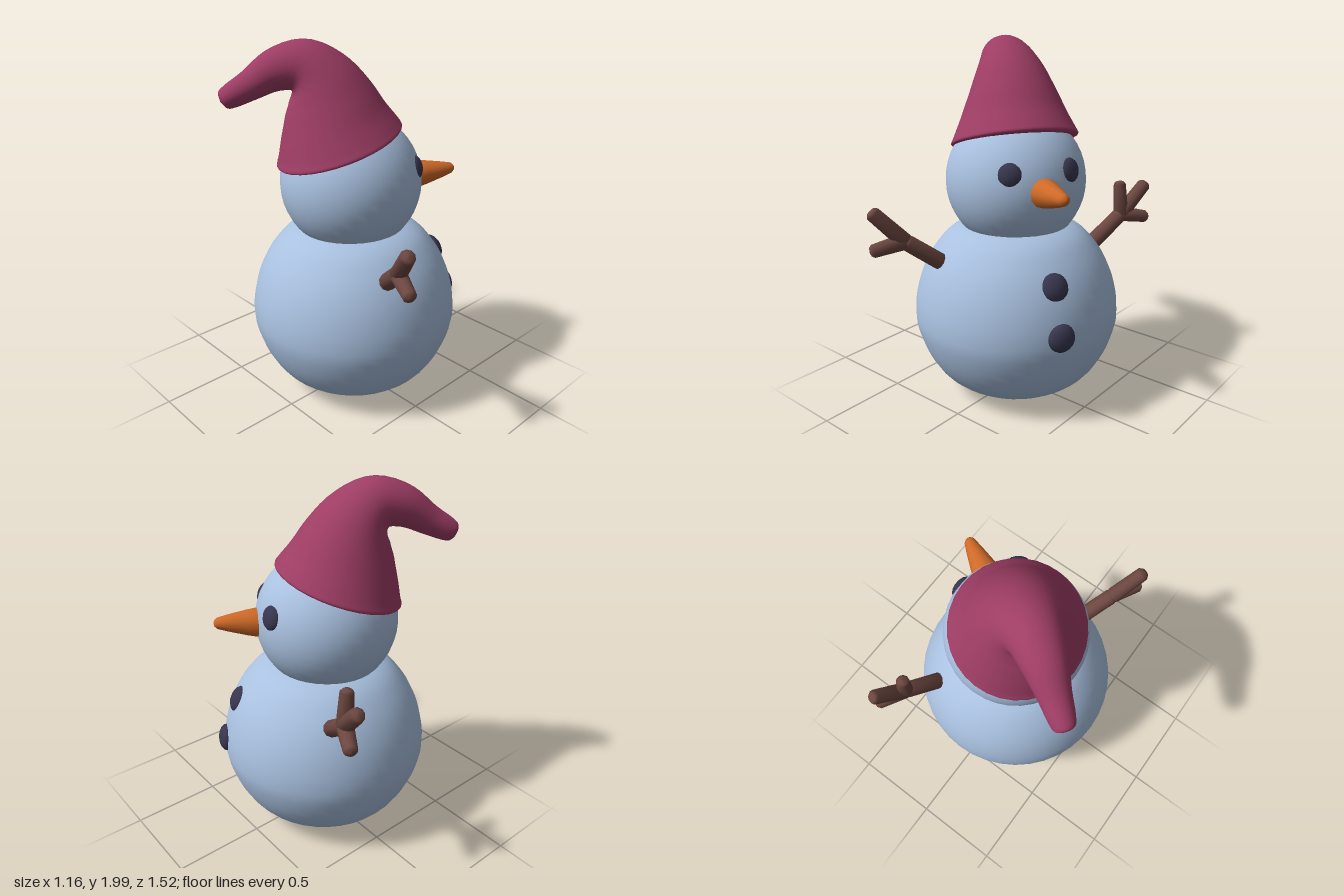
import * as THREE from 'three';

const paint = (name, color) => {
  const m = new THREE.MeshStandardMaterial({ color });
  m.name = name;
  return m;
};
const V = (a) => new THREE.Vector3(...a);
const UP = new THREE.Vector3(0, 1, 0);

export function createModel() {
  const snow = paint('snow', 0xa9c1e0);
  const felt = paint('felt', 0x9e3d64);
  const coal = paint('coal', 0x38364f);
  const carrot = paint('carrot', 0xd06a28);
  const wood = paint('wood', 0x6c4740);
  const model = new THREE.Group();
  model.name = 'snowman';

  const add = (name, geometry, material, parent = model) => {
    const mesh = new THREE.Mesh(geometry, material);
    mesh.name = name;
    parent.add(mesh);
    return mesh;
  };

  // Body: a squat ball with a flattened base, narrowing to the neck
  const outline = [[0.1, 0], [0.2, 0.012], [0.31, 0.04], [0.44, 0.13], [0.525, 0.26], [0.573, 0.4],
    [0.58, 0.5], [0.567, 0.6], [0.535, 0.71], [0.48, 0.82], [0.4, 0.92], [0.33, 0.968], [0.27, 0.99]];
  const smooth = new THREE.SplineCurve(outline.map(([r, y]) => new THREE.Vector2(r, y))).getPoints(36);
  add('body', new THREE.LatheGeometry([new THREE.Vector2(0, 0), ...smooth], 40), snow)
    .position.set(-0.003, 0, -0.01);

  // Head
  const head = add('head', new THREE.SphereGeometry(0.388, 36, 24), snow);
  head.position.set(-0.015, 1.23, -0.02);

  // Hat: rings [outward, height, lean in degrees, radius] swept along a bent, drooping cone
  const rings = [[0, 1.43, 18, 0.3], [0, 1.425, 18, 0.335], [0, 1.437, 18, 0.354], [0.005, 1.47, 18, 0.34],
    [0.03, 1.56, 19, 0.297], [0.06, 1.68, 23, 0.245], [0.12, 1.79, 42, 0.19], [0.21, 1.862, 76, 0.135],
    [0.34, 1.835, 110, 0.105], [0.46, 1.765, 118, 0.078], [0.56, 1.713, 118, 0.062],
    [0.595, 1.695, 118, 0.048], [0.61, 1.688, 118, 0.001]];
  const path = new THREE.CatmullRomCurve3(rings.map(([s, y, , r]) => new THREE.Vector3(s, y, r)));
  const lean = new THREE.CatmullRomCurve3(rings.map((k, i) => new THREE.Vector3(k[2], i * 10, 0)));
  const droop = new THREE.Vector3(-0.83, 0, -0.555);
  const side = new THREE.Vector3(0.555, 0, -0.83);
  const steps = (rings.length - 1) * 4, n = 32, pos = [], idx = [];
  for (let i = 0; i <= steps; i++) {
    const p = path.getPoint(i / steps);
    const a = THREE.MathUtils.degToRad(lean.getPoint(i / steps).x);
    const across = droop.clone().multiplyScalar(Math.cos(a)).addScaledVector(UP, -Math.sin(a));
    const r = Math.max(p.z, 0.001);
    for (let j = 0; j < n; j++) {
      const t = (j / n) * Math.PI * 2;
      const v = new THREE.Vector3(-0.06, p.y, -0.065).addScaledVector(droop, p.x)
        .addScaledVector(side, r * Math.cos(t)).addScaledVector(across, r * Math.sin(t));
      pos.push(v.x, v.y, v.z);
      if (i < steps) {
        const b = i * n + j, c = i * n + (j + 1) % n;
        idx.push(b, c, b + n, c, c + n, b + n);
      }
    }
  }
  const hat = new THREE.BufferGeometry();
  hat.setAttribute('position', new THREE.Float32BufferAttribute(pos, 3));
  hat.setIndex(idx);
  hat.computeVertexNormals();
  add('hat', hat, felt);

  // Coal pieces: flattened lumps facing out from the snow
  const lump = (name, at, out, r, depth) => {
    const mesh = add(name, new THREE.SphereGeometry(r, 14, 10), coal);
    mesh.scale.set(1, 1, depth / r);
    mesh.position.set(...at);
    mesh.lookAt(V(at).add(V(out)));
  };
  lump('rightEye', [0.185, 1.33, 0.27], [0.6, 0.25, 0.85], 0.066, 0.04);
  lump('leftEye', [0.345, 1.33, -0.018], [1, 0.25, 0.03], 0.066, 0.036);
  lump('upperButton', [0.428, 0.768, 0.212], [0.85, 0.45, 0.42], 0.078, 0.05);
  lump('lowerButton', [0.508, 0.525, 0.25], [0.9, 0.08, 0.44], 0.076, 0.045);

  // Nose: a blunt carrot
  const noseProfile = [[0, 0], [0.076, 0], [0.08, 0.015], [0.068, 0.08], [0.045, 0.18], [0.03, 0.235], [0.016, 0.25], [0, 0.254]];
  const nose = add('nose', new THREE.LatheGeometry(noseProfile.map(([r, y]) => new THREE.Vector2(r, y)), 12), carrot);
  nose.position.set(0.3, 1.235, 0.148);
  nose.quaternion.setFromUnitVectors(UP, new THREE.Vector3(0.225, 0.018, 0.112).normalize());

  // Arms: a branch with twigs, each a tapered stick with a rounded end
  const stick = (name, from, to, r0, r1, parent) => {
    const a = V(from), d = V(to).sub(a), len = d.length();
    const profile = [[0, 0], [r0, 0], [r1, len - r1 * 0.4], [r1 * 0.65, len], [0, len + r1 * 0.15]];
    const mesh = add(name, new THREE.LatheGeometry(profile.map(([r, y]) => new THREE.Vector2(r, y)), 10), wood, parent);
    mesh.position.copy(a);
    mesh.quaternion.setFromUnitVectors(UP, d.normalize());
  };
  const arm = (name, base, node, tips) => {
    const g = new THREE.Group();
    g.name = name;
    model.add(g);
    stick('branch', base, node, 0.047, 0.045, g);
    tips.forEach((tip, i) => stick(i ? 'twig' : 'branchEnd', node, tip, 0.045, i ? 0.036 : 0.04, g));
  };
  arm('rightArm', [-0.155, 0.8, 0.39], [-0.27, 0.965, 0.585],
    [[-0.36, 1.14, 0.725], [-0.355, 0.93, 0.745]]);
  arm('leftArm', [0.255, 0.81, -0.385], [0.335, 0.965, -0.58],
    [[0.4, 1.135, -0.74], [0.425, 0.93, -0.73], [0.32, 1.16, -0.575]]);

  return model;
}
